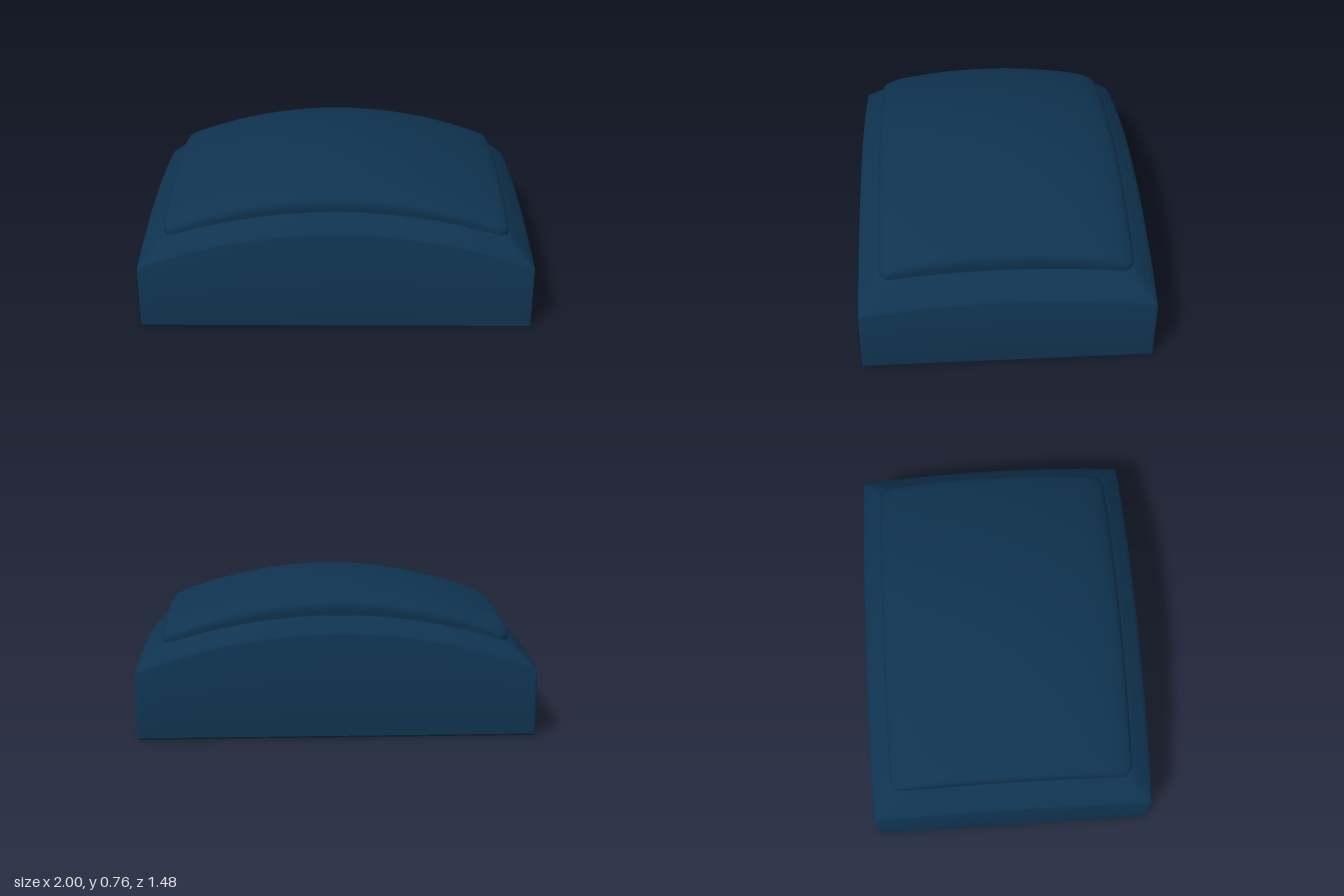
import * as THREE from 'three';
import { toCreasedNormals } from 'three/addons/utils/BufferGeometryUtils.js';

const SIDE = 20, CORNER = 6;

// Rounded rectangle outline, counter-clockwise seen from above
function outline(hx, hz, r) {
  const pts = [];
  const corners = [[1, -1], [-1, -1], [-1, 1], [1, 1]];
  corners.forEach(([sx, sz], k) => {
    const cx = sx * (hx - r), cz = sz * (hz - r);
    for (let i = 0; i <= CORNER; i++) {
      const a = (k + i / CORNER) * Math.PI / 2;
      pts.push([cx + r * Math.cos(a), cz - r * Math.sin(a)]);
    }
    // straight run to the start of the next corner
    const [nx, nz] = corners[(k + 1) % 4];
    const a = (k + 1) * Math.PI / 2;
    const from = pts[pts.length - 1];
    const to = [nx * (hx - r) + r * Math.cos(a), nz * (hz - r) - r * Math.sin(a)];
    for (let i = 1; i < SIDE; i++) {
      const t = i / SIDE;
      pts.push([from[0] + (to[0] - from[0]) * t, from[1] + (to[1] - from[1]) * t]);
    }
  });
  return pts;
}

// Skin a stack of outlines: each ring is [halfX, halfZ, radius, height(x, z)]
function loft(rings) {
  const pos = [], index = [];
  let n = 0;
  for (const [hx, hz, r, height] of rings) {
    const pts = outline(hx, hz, r);
    n = pts.length;
    for (const [x, z] of pts) pos.push(x, height(x, z), z);
  }
  for (let i = 0; i < rings.length - 1; i++) {
    for (let j = 0; j < n; j++) {
      const a = i * n + j, b = i * n + (j + 1) % n;
      index.push(a, b, b + n, a, b + n, a + n);
    }
  }
  const g = new THREE.BufferGeometry();
  g.setAttribute('position', new THREE.Float32BufferAttribute(pos, 3));
  g.setIndex(index);
  return toCreasedNormals(g, 0.6);
}

// Surface curved both ways, with its crown at the given height
const crown = (top, kx, kz) => (x, z) => top - kx * x * x - kz * z * z;
const flat = (y) => () => y;

export function createModel() {
  const group = new THREE.Group();
  const material = new THREE.MeshStandardMaterial({ color: 0x0f3350 });
  const add = (name, geometry) => {
    const mesh = new THREE.Mesh(geometry, material);
    mesh.name = name;
    group.add(mesh);
  };
  const rim = (top) => crown(top, 0.19, 0.11);
  const dome = (top) => crown(top, 0.225, 0.19);

  // Base block: flat underside, straight walls, arched rim and sloping shoulder
  add('base', loft([
    [0.001, 0.001, 0.0005, flat(0)],
    [0.99, 0.73, 0.008, flat(0)],
    [1, 0.74, 0.01, flat(0.01)],
    [1, 0.74, 0.01, rim(0.582)],
    [0.995, 0.735, 0.01, rim(0.592)],
    [0.975, 0.715, 0.012, rim(0.602)],
    [0.945, 0.69, 0.02, rim(0.618)],
    [0.9, 0.65, 0.04, rim(0.642)],
    [0.875, 0.63, 0.05, rim(0.65)],
    [0.84, 0.6, 0.05, rim(0.655)],
  ]));

  // Raised domed panel: short step wall, rounded edge, crowned top
  const panel = [
    [0.872, 0.632, 0.06, rim(0.62)],
    [0.876, 0.635, 0.06, rim(0.67)],
    [0.876, 0.635, 0.06, dome(0.722)],
    [0.875, 0.63, 0.06, dome(0.737)],
    [0.871, 0.615, 0.06, dome(0.747)],
    [0.864, 0.59, 0.055, dome(0.755)],
    [0.85, 0.55, 0.05, dome(0.76)],
    [0.82, 0.5, 0.05, dome(0.764)],
  ];
  for (let i = 9; i >= 0; i--) {
    const s = Math.max(i / 10, 0.001);
    panel.push([0.82 * s, 0.5 * s, 0.05 * s, dome(0.765)]);
  }
  add('domedPanel', loft(panel));

  return group;
}
